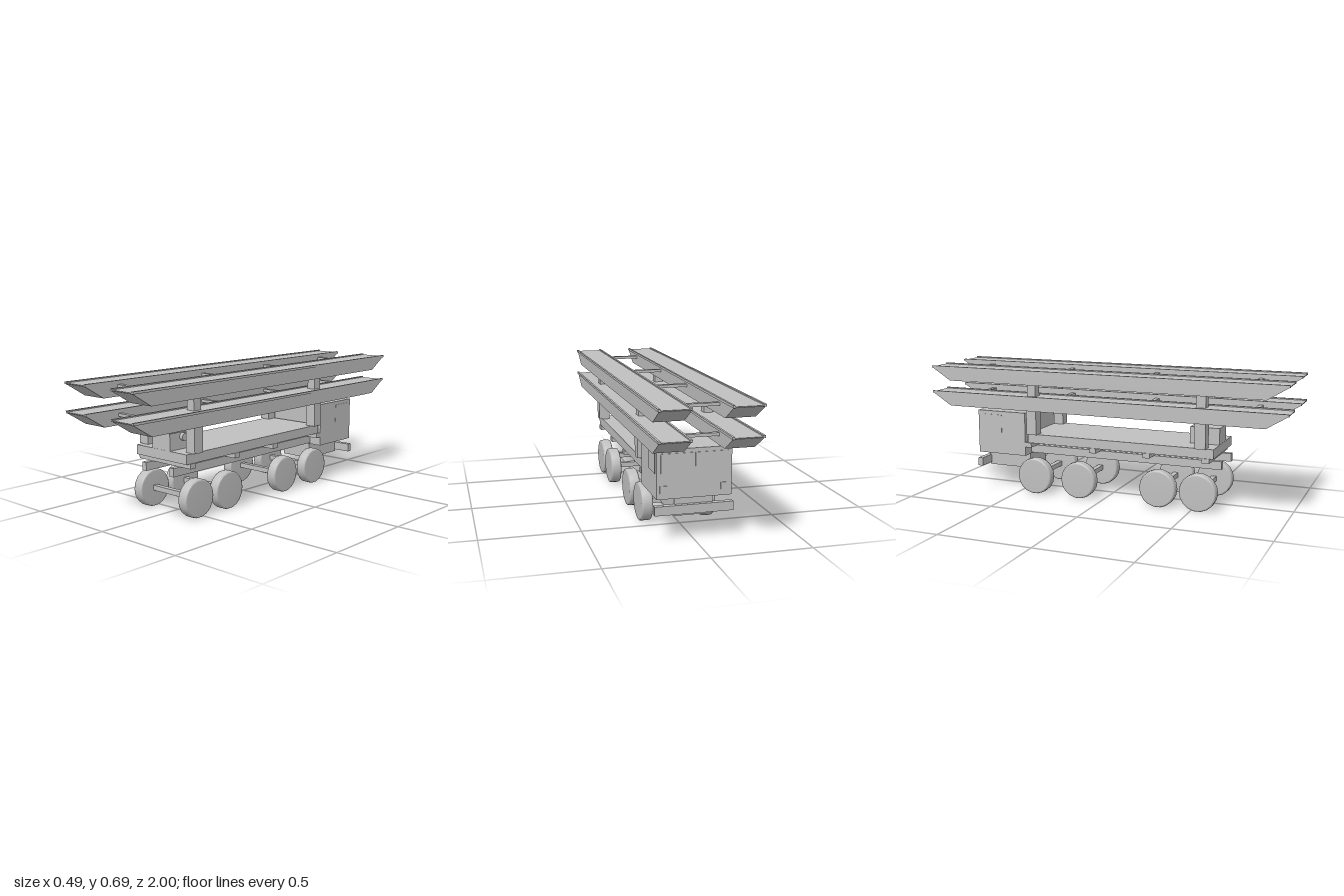
import * as THREE from 'three';

const grey = new THREE.MeshStandardMaterial({ color: 0xc0c0c0 });
grey.name = 'plain grey';

export function createModel() {
  const model = new THREE.Group();
  model.name = 'bridgeCarrierTruck';

  const add = (name, geometry) => {
    const mesh = new THREE.Mesh(geometry, grey);
    mesh.name = name;
    model.add(mesh);
    return mesh;
  };
  // box given by its minimum and maximum on each axis
  const box = (name, x0, x1, y0, y1, z0, z1) => {
    const mesh = add(name, new THREE.BoxGeometry(x1 - x0, y1 - y0, z1 - z0));
    mesh.position.set((x0 + x1) / 2, (y0 + y1) / 2, (z0 + z1) / 2);
    return mesh;
  };
  // the same box on the left and right sides
  const pair = (name, x0, x1, ...rest) => {
    box(name + 'Left', x0, x1, ...rest);
    box(name + 'Right', -x1, -x0, ...rest);
  };

  // Bridge tracks: two decks of paired beams with undercut ends
  const profile = new THREE.Shape();
  profile.moveTo(-1, 0.073);
  profile.lineTo(-1, 0.069);
  profile.lineTo(-0.888, 0);
  profile.lineTo(0.888, 0);
  profile.lineTo(1, 0.069);
  profile.lineTo(1, 0.073);
  const trackGeometry = new THREE.ExtrudeGeometry(profile, { depth: 0.147, bevelEnabled: false });
  trackGeometry.rotateY(Math.PI / 2);
  trackGeometry.translate(-0.0735, 0, 0);
  for (const y of [0.474, 0.615]) {
    for (const side of [-1, 1]) {
      add('bridgeTrack', trackGeometry).position.set(side * 0.1685, y, 0);
    }
    pair('innerCurb', 0.091, 0.102, y + 0.067, y + 0.079, -1, 1);
    pair('outerCurb', 0.236, 0.247, y + 0.067, y + 0.079, -1, 1);
    for (const z of [-0.8, -0.288, 0.217, 0.79]) {
      box('trackSpacer', -0.097, 0.097, y + 0.043, y + 0.058, z - 0.012, z + 0.012);
    }
  }

  // Supports under and between the tracks
  for (const z of [0.548, -0.408]) {
    pair('trackPost', 0.14, 0.2, 0.335, 0.475, z - 0.029, z + 0.029);
    pair('deckSpacer', 0.145, 0.193, 0.547, 0.616, z - 0.025, z + 0.025);
  }

  // Load bed, cross members and chassis rails
  box('loadBed', -0.181, 0.181, 0.285, 0.335, -0.438, 0.615);
  for (const z of [0.575, 0.254, -0.05, -0.436]) {
    box('crossMember', -0.186, 0.186, 0.26, 0.286, z - 0.019, z + 0.019);
  }
  pair('chassisRail', 0.085, 0.113, 0.216, 0.26, -0.46, 0.64);

  // Winch at the front of the bed
  box('winchHousing', -0.064, 0.064, 0.335, 0.422, 0.455, 0.614);
  const drum = add('winchDrum', new THREE.CylinderGeometry(0.02, 0.02, 0.168, 20));
  drum.rotation.z = Math.PI / 2;
  drum.position.set(0, 0.398, 0.527);

  // Cab with lower body and bumper, facing -z
  box('cab', -0.185, 0.185, 0.21, 0.45, -0.745, -0.455);
  box('cabUnderbody', -0.095, 0.095, 0.12, 0.21, -0.73, -0.47);
  box('bumper', -0.195, 0.195, 0.132, 0.177, -0.75, -0.722);

  // Thin glass and lamp plates on the cab
  pair('windscreen', 0.004, 0.165, 0.335, 0.43, -0.748, -0.744);
  pair('headlamp', 0.13, 0.17, 0.24, 0.275, -0.749, -0.744);
  pair('doorWindow', 0.184, 0.187, 0.33, 0.43, -0.72, -0.6);

  // Wheels with rounded shoulders, smooth all over, and axles
  const wheelProfile = [[0, -0.029], [0.09, -0.029], [0.097, -0.026], [0.1, -0.018],
    [0.1, 0.018], [0.097, 0.026], [0.09, 0.029], [0, 0.029]];
  const wheelGeometry = new THREE.LatheGeometry(wheelProfile.map(([r, h]) => new THREE.Vector2(r, h)), 18);
  wheelGeometry.rotateZ(Math.PI / 2);
  for (const z of [0.535, 0.316, -0.138, -0.4]) {
    box('axle', -0.14, 0.14, 0.088, 0.115, z - 0.014, z + 0.014);
    for (const side of [-1, 1]) {
      add('wheel', wheelGeometry).position.set(side * 0.163, 0.1, z);
    }
  }

  return model;
}
